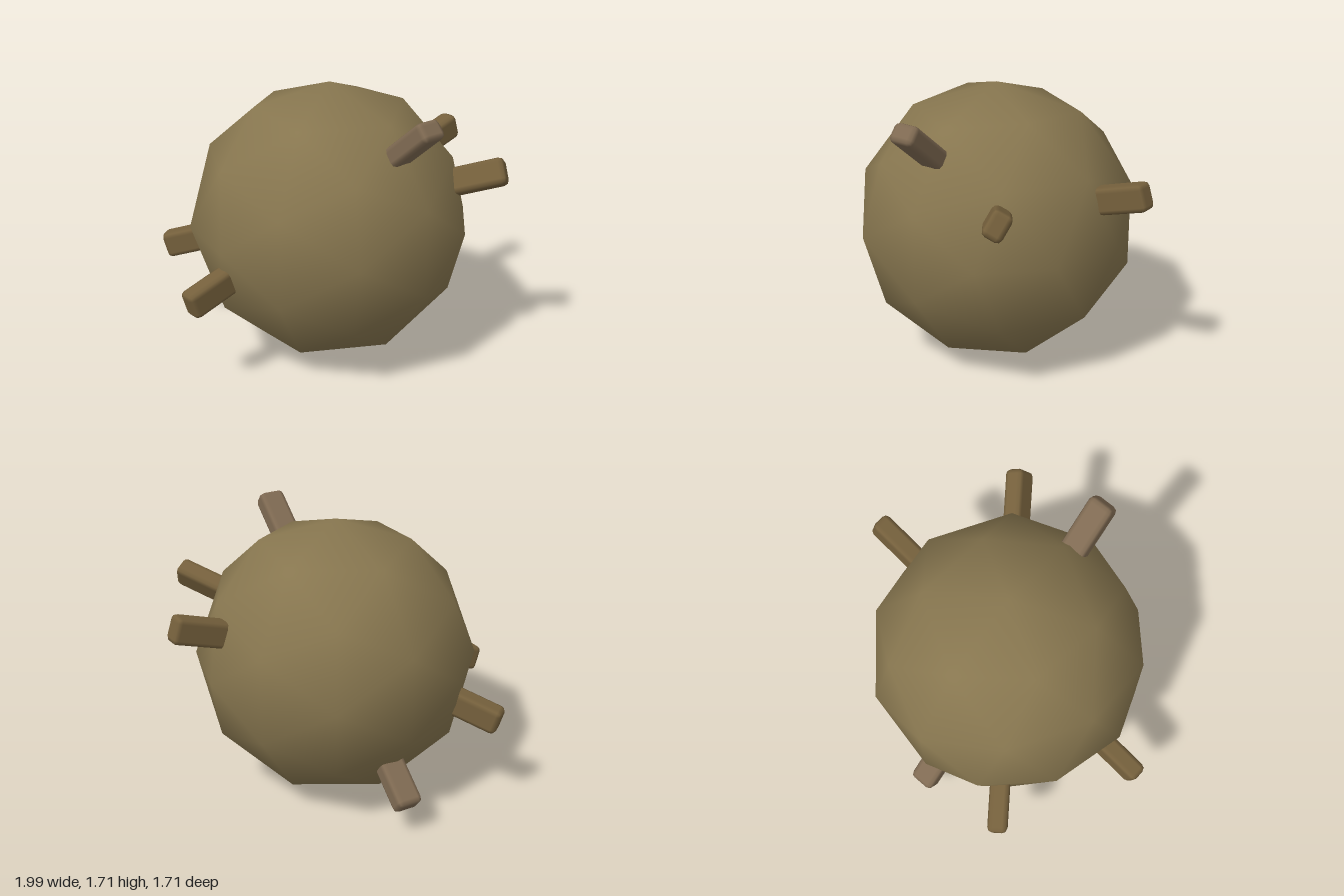
import * as THREE from 'three';
import { RoundedBoxGeometry } from 'three/addons/geometries/RoundedBoxGeometry.js';

const paint = (color) => new THREE.MeshStandardMaterial({ color });

export function createModel() {
  const model = new THREE.Group();
  model.name = 'studdedBall';

  // Low-poly ball with smooth normals
  const radius = 0.855;
  const ball = new THREE.Mesh(new THREE.IcosahedronGeometry(radius, 1), paint(0x87764f));
  ball.name = 'ball';
  ball.position.y = radius;
  model.add(ball);

  // Chamfered bars radiating outwards: name, direction, twist, material
  const olive = paint(0x75603c);
  const brown = paint(0x7f6a52);
  const length = 0.55;
  const tip = 1.108;
  const bar = new RoundedBoxGeometry(0.122, 0.164, length, 1, 0.032);
  bar.translate(0, 0, tip - length / 2);

  const studs = [
    ['upperFrontStud', [0.41, 0.695, 0.715], Math.PI / 2, brown],
    ['lowerBackStud', [-0.41, -0.695, -0.715], Math.PI / 2, brown],
    ['leftFrontStud', [0.96, 0.32, 0.41], -Math.PI / 6, olive],
    ['leftBackStud', [0.92, 0.33, -0.51], 0, olive],
    ['rightBackStud', [-0.96, -0.32, -0.41], 0, olive],
    ['rightFrontStud', [-0.92, -0.33, 0.51], 0, olive],
  ];
  for (const [name, direction, twist, material] of studs) {
    const stud = new THREE.Mesh(bar, material);
    stud.name = name;
    stud.lookAt(new THREE.Vector3(...direction));
    stud.rotateZ(twist);
    stud.position.y = 0.905;
    model.add(stud);
  }
  return model;
}
